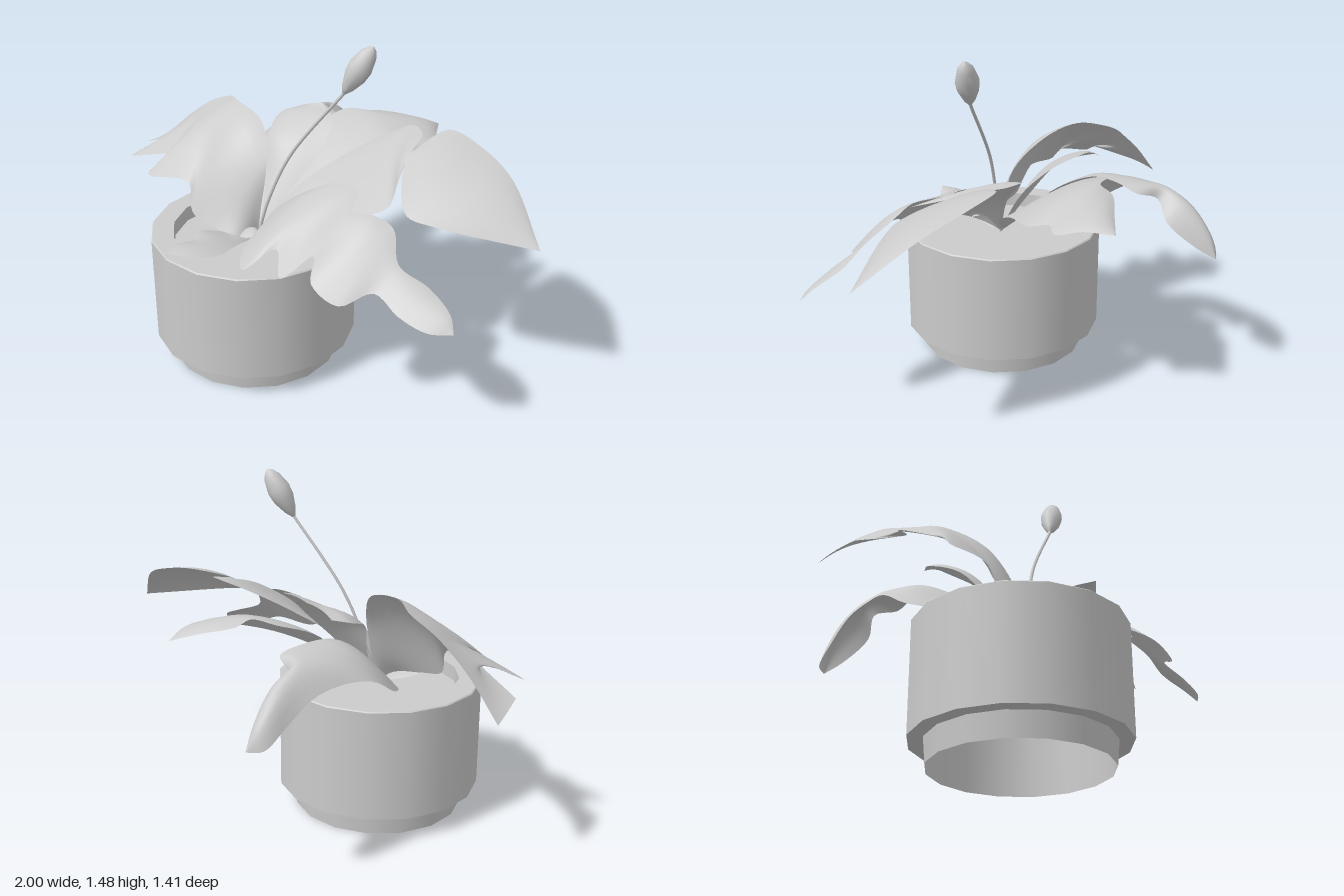
import * as THREE from 'three';

const material = new THREE.MeshStandardMaterial({ color: 0xcccccc });
const thinMaterial = new THREE.MeshStandardMaterial({ color: 0xcccccc, side: THREE.DoubleSide });
const v = (x, y, z) => new THREE.Vector3(x, y, z);
const ROOT = [-0.12, 0.55, 0.23];

// Smooth sheet through rows of [left edge, midrib, right edge]; a row of one point closes an end.
function makeLeaf(name, rows) {
  const curves = [0, 3, 6].map((k) => new THREE.CatmullRomCurve3(
    rows.map((r) => (r.length === 3 ? v(...r) : v(r[k], r[k + 1], r[k + 2])))));
  const along = (rows.length - 1) * 5, across = 8;
  const positions = [], indices = [];
  for (let i = 0; i <= along; i++) {
    const [a, m, b] = curves.map((c) => c.getPoint(i / along));
    for (let j = 0; j <= across; j++) {
      const s = (j / across) * 2 - 1;
      const p = v(0, 0, 0)
        .addScaledVector(a, s * (s - 1) / 2)
        .addScaledVector(m, 1 - s * s)
        .addScaledVector(b, s * (s + 1) / 2);
      positions.push(p.x, p.y, p.z);
      if (i < along && j < across) {
        const n = i * (across + 1) + j, o = n + across + 1;
        indices.push(n, o, n + 1, n + 1, o, o + 1);
      }
    }
  }
  const geometry = new THREE.BufferGeometry();
  geometry.setAttribute('position', new THREE.Float32BufferAttribute(positions, 3));
  geometry.setIndex(indices);
  geometry.computeVertexNormals();
  const mesh = new THREE.Mesh(geometry, thinMaterial);
  mesh.name = name;
  return mesh;
}

// Pot, hollow from below: one lathe band per profile segment keeps the rims sharp
function makePot() {
  const pot = new THREE.Group();
  pot.name = 'pot';
  const profile = [[0.372, 0.53], [0.376, 0], [0.385, 0.105], [0.449, 0.105], [0.449, 0.59],
    [0.444, 0.595], [0.352, 0.595], [0.35, 0.53], [0, 0.53]];
  const names = ['hollow', 'foot', 'ledge', 'wall', 'rimBevel', 'rim', 'innerWall', 'soil'];
  names.forEach((name, i) => {
    const points = [profile[i], profile[i + 1]].map((p) => new THREE.Vector2(...p));
    const band = new THREE.Mesh(new THREE.LatheGeometry(points, 16), thinMaterial);
    band.name = name;
    pot.add(band);
  });
  pot.position.set(-0.138, 0, 0.241);
  return pot;
}

// Thin stalk with a bud at its end
function makeFlower() {
  const flower = new THREE.Group();
  flower.name = 'flower';
  const start = v(0.2, 1.27, 0.02), end = v(0.285, 1.475, -0.062);
  const path = new THREE.CatmullRomCurve3([v(...ROOT), v(-0.07, 0.75, 0.2), v(0.01, 0.97, 0.14), start, v(0.21, 1.29, 0.012)]);
  const stalk = new THREE.Mesh(new THREE.TubeGeometry(path, 24, 0.007, 6), thinMaterial);
  stalk.name = 'stalk';
  const length = start.distanceTo(end);
  const profile = [[0, 0], [0.008, 0.01], [0.026, 0.14], [0.046, 0.38], [0.05, 0.58], [0.036, 0.83], [0.018, 0.95], [0, 1]]
    .map(([r, t]) => new THREE.Vector2(r, t * length));
  const bud = new THREE.Mesh(new THREE.LatheGeometry(profile, 12), material);
  bud.name = 'bud';
  bud.position.copy(start);
  bud.quaternion.setFromUnitVectors(v(0, 1, 0), end.clone().sub(start).normalize());
  flower.add(stalk, bud);
  return flower;
}

export function createModel() {
  const model = new THREE.Group();
  model.name = 'pottedPlant';
  model.add(makePot(), makeFlower());

  model.add(makeLeaf('rightFrontLeaf', [
    ROOT,
    [-0.12, 0.68, 0.21, -0.13, 0.64, 0.26, -0.13, 0.58, 0.33],
    [-0.14, 0.87, 0.16, -0.18, 0.77, 0.26, -0.25, 0.6, 0.39],
    [-0.26, 1.01, 0.09, -0.3, 0.9, 0.25, -0.36, 0.63, 0.41],
    [-0.45, 1.045, 0.08, -0.46, 0.95, 0.22, -0.41, 0.75, 0.39],
    [-0.57, 1.02, 0.04, -0.56, 0.92, 0.25, -0.63, 0.73, 0.465],
    [-0.68, 0.97, 0.06, -0.65, 0.89, 0.22, -0.59, 0.81, 0.37],
    [-0.75, 0.92, 0.08, -0.74, 0.85, 0.24, -0.83, 0.74, 0.43],
    [-0.86, 0.83, 0.1, -0.81, 0.82, 0.19, -0.71, 0.83, 0.27],
    [-1, 0.68, 0.12, -0.97, 0.71, 0.2, -0.93, 0.73, 0.28],
  ]));

  model.add(makeLeaf('leftFrontLeaf', [
    ROOT,
    [-0.07, 0.67, 0.19, -0.07, 0.64, 0.23, -0.07, 0.59, 0.28],
    [0, 0.75, 0.15, 0, 0.7, 0.25, 0, 0.61, 0.39],
    [0.12, 0.84, 0.1, 0.12, 0.77, 0.26, 0.14, 0.6, 0.5],
    [0.22, 0.89, 0.05, 0.22, 0.81, 0.22, 0.2, 0.68, 0.37],
    [0.32, 0.89, 0.04, 0.3, 0.81, 0.2, 0.3, 0.61, 0.43],
    [0.4, 0.85, 0.14, 0.4, 0.81, 0.21, 0.38, 0.71, 0.32],
    [0.47, 0.86, 0.1, 0.5, 0.8, 0.2, 0.46, 0.65, 0.4],
    [0.57, 0.83, 0.07, 0.57, 0.76, 0.2, 0.59, 0.6, 0.37],
    [0.67, 0.73, 0.13, 0.67, 0.7, 0.18, 0.66, 0.645, 0.25],
    [0.8, 0.675, 0.09, 0.79, 0.66, 0.16, 0.79, 0.6, 0.24],
    [0.93, 0.62, 0.1, 0.92, 0.61, 0.14, 0.91, 0.57, 0.2],
    [0.98, 0.57, 0.13],
  ]));

  model.add(makeLeaf('leftBackLeaf', [
    ROOT,
    [-0.05, 0.75, 0.1, -0.01, 0.73, 0.13, 0.03, 0.69, 0.16],
    [0.05, 0.9, -0.1, 0.12, 0.86, 0, 0.2, 0.78, 0.12],
    [0.15, 0.99, -0.25, 0.22, 0.94, -0.1, 0.4, 0.83, 0.12],
    [0.23, 1.04, -0.35, 0.3, 0.99, -0.17, 0.5, 0.88, 0.045],
    [0.31, 1.03, -0.33, 0.34, 0.99, -0.2, 0.43, 0.93, -0.08],
    [0.36, 1, -0.22, 0.375, 0.985, -0.19, 0.39, 0.96, -0.15],
    [0.39, 1.06, -0.4, 0.42, 1.01, -0.24, 0.43, 0.93, -0.1],
    [0.55, 1.03, -0.43, 0.56, 0.98, -0.22, 0.57, 0.86, 0],
    [0.75, 0.96, -0.41, 0.76, 0.92, -0.26, 0.68, 0.84, -0.05],
    [1, 0.78, -0.31],
  ]));

  model.add(makeLeaf('backLeaf', [
    ROOT,
    [-0.2, 0.75, 0, -0.1, 0.73, 0.02, 0.02, 0.7, 0.05],
    [-0.25, 0.9, -0.2, -0.08, 0.88, -0.18, 0.12, 0.8, -0.15],
    [-0.23, 0.96, -0.36, -0.02, 0.95, -0.36, 0.21, 0.86, -0.38],
    [-0.13, 0.97, -0.42, 0.02, 0.95, -0.45, 0.17, 0.88, -0.45],
    [-0.13, 0.95, -0.49, 0.03, 0.945, -0.52, 0.2, 0.87, -0.52],
    [-0.04, 0.92, -0.6, 0.045, 0.925, -0.61, 0.13, 0.89, -0.6],
    [0.045, 0.885, -0.7],
  ]));

  // Upright leaf whose top overlaps the drooping one
  model.add(makeLeaf('rightUprightLeaf', [
    ROOT,
    [-0.2, 0.75, 0.12, -0.14, 0.76, 0.1, -0.08, 0.74, 0.08],
    [-0.3, 0.9, 0.03, -0.2, 0.92, 0, -0.06, 0.87, -0.05],
    [-0.38, 0.96, -0.1, -0.27, 1, -0.12, -0.1, 0.99, -0.18],
    [-0.35, 0.98, -0.18, -0.29, 1.01, -0.19, -0.22, 1.03, -0.22],
  ]));

  model.add(makeLeaf('rightBackLeaf', [
    ROOT,
    [-0.25, 0.62, 0.18, -0.2, 0.66, 0.14, -0.16, 0.68, 0.1],
    [-0.45, 0.66, 0.09, -0.33, 0.78, 0.01, -0.23, 0.82, -0.04],
    [-0.54, 0.7, -0.01, -0.43, 0.85, -0.1, -0.31, 0.89, -0.17],
    [-0.57, 0.78, -0.14, -0.46, 0.88, -0.24, -0.33, 0.9, -0.31],
    [-0.57, 0.8, -0.28, -0.47, 0.89, -0.36, -0.34, 0.88, -0.42],
    [-0.58, 0.78, -0.43, -0.5, 0.88, -0.45, -0.44, 0.84, -0.45],
    [-0.59, 0.7, -0.56, -0.52, 0.83, -0.56, -0.42, 0.76, -0.53],
    [-0.59, 0.63, -0.66, -0.54, 0.72, -0.66, -0.48, 0.67, -0.64],
    [-0.54, 0.62, -0.71],
  ]));

  model.add(makeLeaf('smallFrontLeaf', [
    ROOT,
    [-0.16, 0.56, 0.3, -0.13, 0.57, 0.3, -0.1, 0.56, 0.3],
    [-0.22, 0.58, 0.37, -0.13, 0.59, 0.37, -0.07, 0.58, 0.36],
    [-0.24, 0.6, 0.45, -0.13, 0.615, 0.45, -0.03, 0.6, 0.44],
    [-0.19, 0.605, 0.54, -0.1, 0.63, 0.53, -0.01, 0.605, 0.51],
    [-0.19, 0.615, 0.62, -0.11, 0.64, 0.61, -0.04, 0.615, 0.6],
    [-0.12, 0.633, 0.7],
  ]));

  model.add(makeLeaf('youngLeaf', [
    ROOT,
    [-0.1, 0.62, 0.28, -0.1, 0.62, 0.31, -0.1, 0.6, 0.34],
    [-0.06, 0.63, 0.28, -0.06, 0.63, 0.31, -0.06, 0.61, 0.35],
    [-0.01, 0.62, 0.31],
  ]));
  return model;
}
